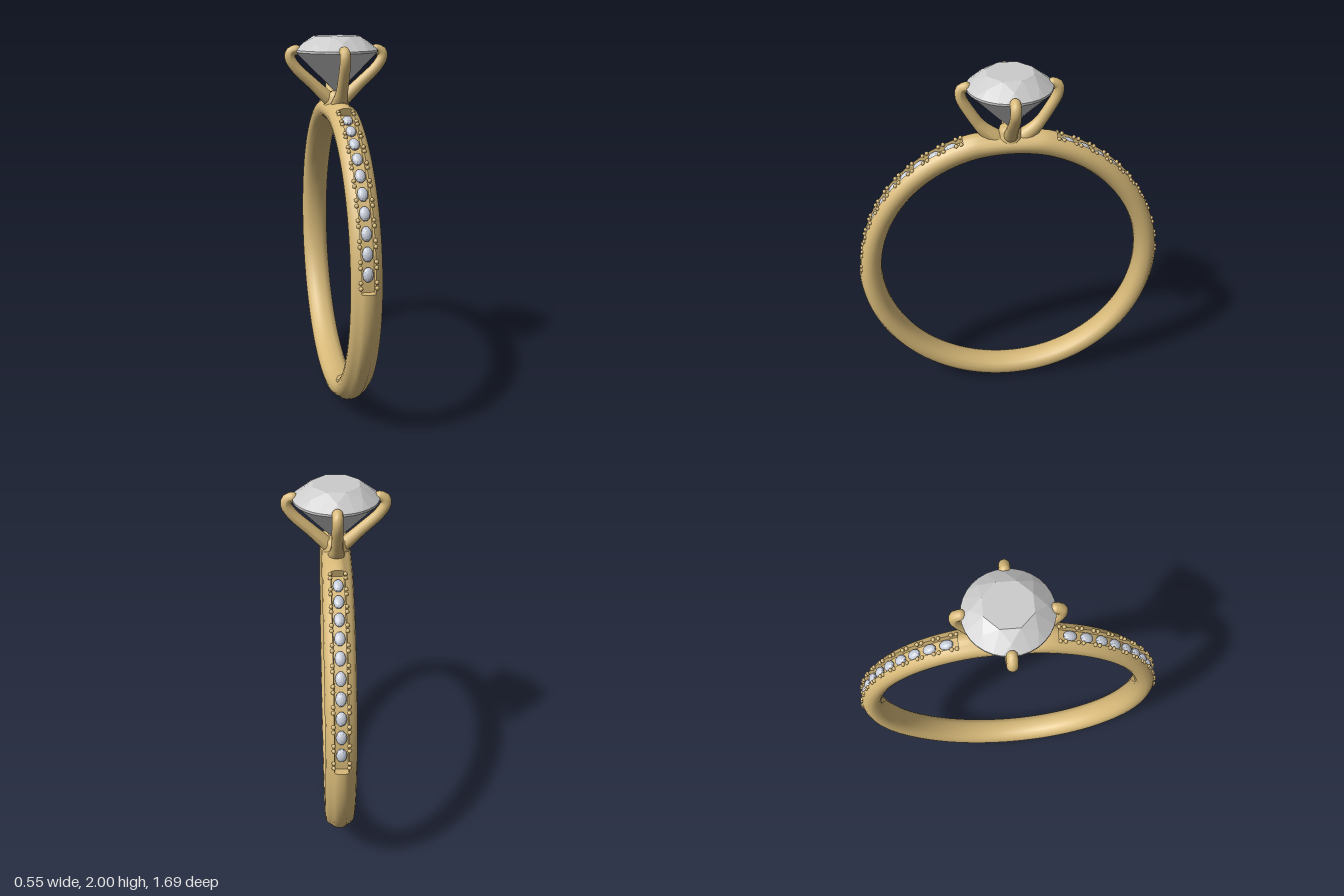
import * as THREE from 'three';
import { toCreasedNormals } from 'three/addons/utils/BufferGeometryUtils.js';
import { ConvexGeometry } from 'three/addons/geometries/ConvexGeometry.js';

const CY = 0.843; // height of the ring's centre
const RAD = Math.PI / 180;
const gold = new THREE.MeshStandardMaterial({ color: 0xd6b878 });
const gem = new THREE.MeshStandardMaterial({ color: 0xcccccc, flatShading: true });
const smallGem = new THREE.MeshStandardMaterial({ color: 0xc6ccd8, flatShading: true });

function add(parent, name, geometry, material) {
  const mesh = new THREE.Mesh(geometry, material);
  mesh.name = name;
  parent.add(mesh);
  return mesh;
}

// Band: a rounded section swept around the finger, with a sunken channel on both shoulders
function bandGeometry() {
  const half = [[0.035, 0.721], [0.06, 0.734], [0.074, 0.755], [0.078, 0.78], [0.072, 0.803],
    [0.056, 0.819], [0.035, 0.831], [0.031, 0.836], [0.015, 0.842]];
  const profile = [[0, 0.718], ...half, [0, 0.843], ...half.slice().reverse().map(([x, r]) => [-x, r])];
  const n = profile.length;
  const stops = [];
  for (let a = -180; a < 180; a += 2) stops.push(a);
  for (const e of [17, 89]) for (const s of [-1, 1]) stops.push(s * e - 0.05, s * e + 0.05);
  stops.sort((a, b) => a - b);

  const pos = [], index = [];
  stops.forEach((deg, i) => {
    const phi = deg * RAD, c = Math.cos(phi);
    const inChannel = Math.abs(deg) > 17 && Math.abs(deg) < 89;
    const crest = c > 0.9 ? Math.min(0.843, 0.822 / c) : 0.843; // flat bridge under the setting
    for (const [x, r0] of profile) {
      let r = r0 - ((r0 - 0.718) / 0.125) * (0.843 - crest);
      if (inChannel && Math.abs(x) < 0.033 && r0 > 0.8) r = 0.803;
      pos.push(x, CY + r * c, r * Math.sin(phi));
    }
    const next = (i + 1) % stops.length;
    for (let j = 0; j < n; j++) {
      const k = (j + 1) % n;
      const a = i * n + j, b = i * n + k, d = next * n + j, e = next * n + k;
      index.push(a, b, d, b, e, d);
    }
  });
  const g = new THREE.BufferGeometry();
  g.setAttribute('position', new THREE.Float32BufferAttribute(pos, 3));
  g.setIndex(index);
  return toCreasedNormals(g, 0.7);
}

// Brilliant cut: table, crown, girdle, pavilion and culet as one faceted hull
function brilliantGeometry() {
  const points = [];
  const ring = (count, r, y, offset = 0) => {
    for (let i = 0; i < count; i++) {
      const a = ((i + offset) / count) * Math.PI * 2;
      points.push(new THREE.Vector3(r * Math.sin(a), y, r * Math.cos(a)));
    }
  };
  ring(8, 0.125, 2.0, 0.5);
  ring(8, 0.176, 1.967);
  ring(32, 0.218, 1.929);
  ring(32, 0.218, 1.918);
  ring(8, 0.06, 1.755, 0.5);
  points.push(new THREE.Vector3(0, 1.7, 0));
  return new ConvexGeometry(points);
}

// Claw: tapered tube along a path of [distance out, height], with a rounded tip
function addClaw(parent, name, path, baseRadius, angle) {
  const claw = new THREE.Group();
  claw.name = name;
  claw.rotation.y = angle;
  const curve = new THREE.CatmullRomCurve3(path.map(([d, y]) => new THREE.Vector3(0, y, d)));
  const segs = 28, sides = 14, tip = 0.027;
  const g = new THREE.TubeGeometry(curve, segs, 1, sides, false);
  const p = g.attributes.position, v = new THREE.Vector3();
  for (let i = 0; i <= segs; i++) {
    const u = i / segs, centre = curve.getPointAt(u);
    const r = u < 0.35 ? THREE.MathUtils.lerp(baseRadius, 0.031, u / 0.35)
      : THREE.MathUtils.lerp(0.031, tip, (u - 0.35) / 0.65);
    for (let j = 0; j <= sides; j++) {
      const k = i * (sides + 1) + j;
      v.fromBufferAttribute(p, k).sub(centre).multiplyScalar(r).add(centre);
      p.setXYZ(k, v.x, v.y, v.z);
    }
  }
  g.computeVertexNormals();
  add(claw, 'clawArm', g, gold);
  add(claw, 'clawTip', new THREE.SphereGeometry(tip, 14, 10), gold).position.copy(curve.getPoint(1));
  parent.add(claw);
}

export function createModel() {
  const ring = new THREE.Group();
  ring.name = 'ring';
  add(ring, 'band', bandGeometry(), gold);

  // Setting: hub, four claws and the centre stone
  const setting = new THREE.Group();
  setting.name = 'setting';
  ring.add(setting);
  const hub = [[0.075, 1.61], [0.066, 1.65], [0.058, 1.68], [0.052, 1.7], [0.035, 1.71], [0, 1.712]];
  add(setting, 'hub', new THREE.LatheGeometry(hub.map(([x, y]) => new THREE.Vector2(x, y)), 28), gold);
  const sidePath = [[0.02, 1.65], [0.12, 1.745], [0.222, 1.843], [0.25, 1.895], [0.24, 1.922], [0.216, 1.929]];
  const bandPath = [[0.07, 1.64], [0.14, 1.702], [0.2, 1.79], [0.245, 1.88], [0.24, 1.92], [0.216, 1.929]];
  addClaw(setting, 'frontClaw', bandPath, 0.045, 0);
  addClaw(setting, 'leftClaw', sidePath, 0.038, Math.PI / 2);
  addClaw(setting, 'backClaw', bandPath, 0.045, Math.PI);
  addClaw(setting, 'rightClaw', sidePath, 0.038, -Math.PI / 2);
  add(setting, 'centreStone', brilliantGeometry(), gem);

  // Shoulder stones with pairs of holding beads in the gaps
  const stoneGeometry = new THREE.SphereGeometry(1, 10, 8);
  const beadGeometry = new THREE.SphereGeometry(0.011, 10, 8);
  const at = (name, deg) => {
    const g = new THREE.Group();
    g.name = name;
    g.position.y = CY;
    g.rotation.x = deg * RAD;
    ring.add(g);
    return g;
  };
  const step = 6.75;
  for (const s of [-1, 1]) {
    for (let i = 0; i < 10; i++) {
      const deg = 22 + i * step;
      const stone = add(at('shoulderStone', s * deg), 'smallStone', stoneGeometry, smallGem);
      stone.position.y = 0.811;
      stone.scale.set(0.027, 0.02, 0.037);
    }
    for (let i = 0; i <= 10; i++) {
      for (const shift of [-1, 1]) {
        const beads = at('beadPair', s * (22 + (i - 0.5) * step + shift * 0.95));
        for (const x of [-0.038, 0.038]) {
          add(beads, 'bead', beadGeometry, gold).position.set(x, 0.828, 0);
        }
      }
    }
  }
  return ring;
}
